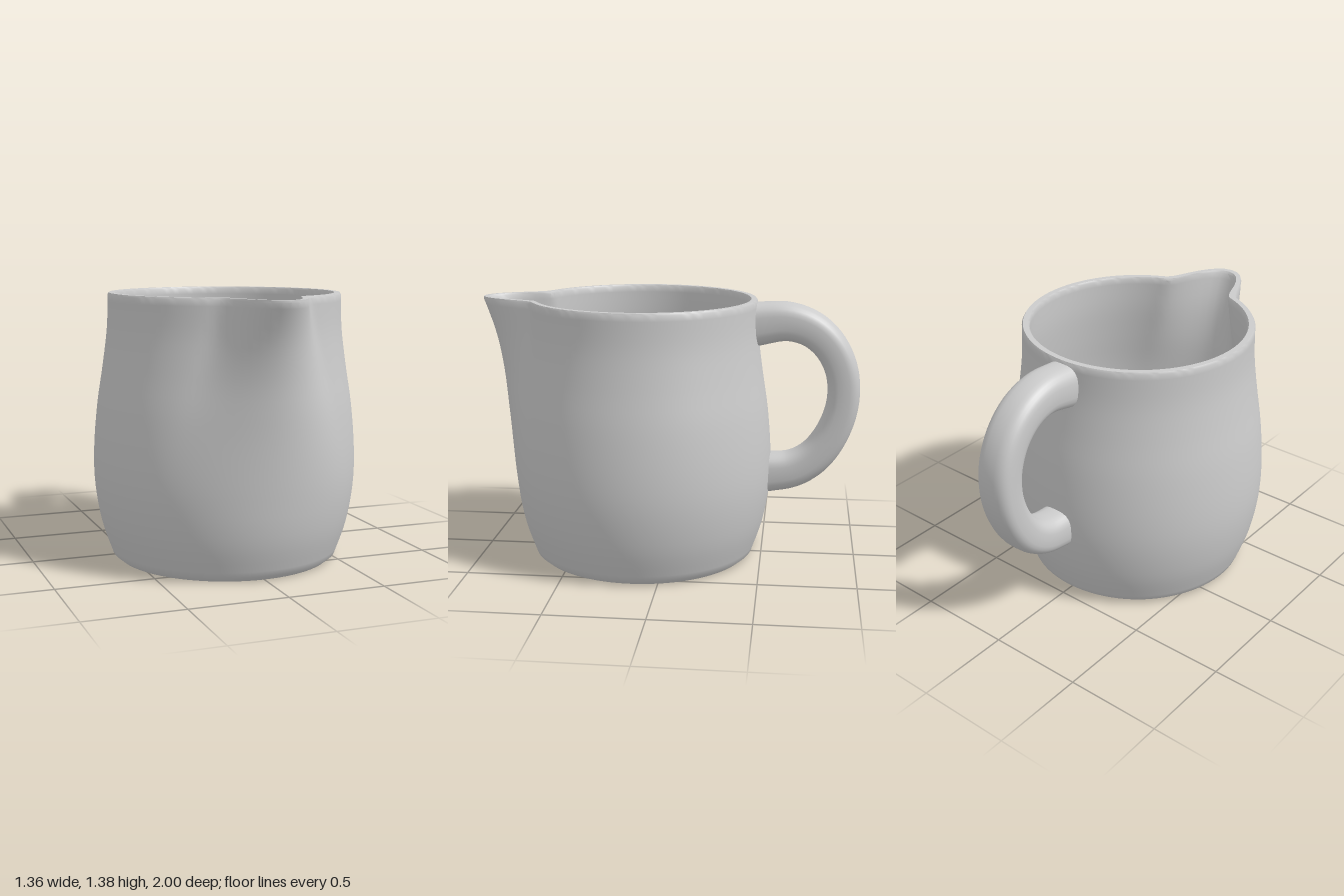
import * as THREE from 'three';
import { mergeVertices, toCreasedNormals } from 'three/addons/utils/BufferGeometryUtils.js';

const HEIGHT = 1.38;
const BODY_Z = 0.14;
const WALL = 0.04;
const v2 = (x, y) => new THREE.Vector2(x, y);

// Pull the front of the wall outwards into a lip that is strong and narrow at the rim
function spoutOffset(angle, y, inner) {
  const t = THREE.MathUtils.clamp((y - 0.35) / (HEIGHT - 0.35), 0, 1);
  const width = THREE.MathUtils.degToRad(24 + (HEIGHT - y) * 25 - (inner ? 2 : 0));
  const a = Math.min(Math.abs(angle) / width, 1);
  return 0.26 * Math.pow(t, 1.7) * 0.5 * (1 + Math.cos(Math.PI * a));
}

// Hollow body: outer wall, rounded rim, inner wall and floor in one profile
function bodyGeometry() {
  const wall = new THREE.SplineCurve([
    v2(0.59, 0.025), v2(0.645, 0.19), v2(0.677, 0.38), v2(0.681, 0.57),
    v2(0.662, 0.8), v2(0.63, 1.01), v2(0.606, 1.2), v2(0.6, 1.37),
  ]).getPoints(28);
  const inside = wall.filter((p) => p.y > 0.1).reverse().map((p) => v2(p.x - WALL, p.y));
  const profile = [
    v2(0, 0), v2(0.56, 0), ...wall,
    v2(0.594, HEIGHT), v2(0.566, HEIGHT), ...inside,
    v2(0.55, 0.06), v2(0.52, 0.045), v2(0, 0.045),
  ];
  const firstInner = 2 + wall.length + 1;
  const lathe = new THREE.LatheGeometry(profile, 128, Math.PI);
  const pos = lathe.attributes.position;
  for (let i = 0; i < pos.count; i++) {
    const x = pos.getX(i), y = pos.getY(i), z = pos.getZ(i);
    const r = Math.hypot(x, z);
    if (r < 0.01) continue;
    const angle = Math.atan2(x, z);
    const k = 1 + spoutOffset(angle, y, i % profile.length >= firstInner) / r;
    pos.setXYZ(i, x * k, y, z * k);
  }
  lathe.deleteAttribute('uv');
  lathe.deleteAttribute('normal');
  return toCreasedNormals(mergeVertices(lathe, 1e-4), 0.6);
}

// Handle: rounded-rectangle section swept along a loop, thicker at both ends
function handleGeometry() {
  const path = new THREE.CatmullRomCurve3([
    [1.25, -0.44], [1.267, -0.62], [1.225, -0.75], [1.13, -0.85], [0.99, -0.909],
    [0.83, -0.912], [0.67, -0.86], [0.545, -0.77], [0.478, -0.66], [0.455, -0.52],
  ].map(([y, z]) => new THREE.Vector3(0, y, z)));
  const rings = 48, sides = 28, halfWidth = 0.1;
  const xAxis = new THREE.Vector3(1, 0, 0);
  const soften = (c) => Math.sign(c) * Math.pow(Math.abs(c), 0.7);
  const positions = [], index = [];
  for (let i = 0; i <= rings; i++) {
    const u = i / rings;
    const centre = path.getPointAt(u);
    const normal = path.getTangentAt(u).cross(xAxis).normalize();
    const half = 0.081 + 0.034 * Math.pow(1 - u, 4) + 0.024 * Math.pow(u, 4);
    for (let j = 0; j < sides; j++) {
      const a = (j / sides) * Math.PI * 2;
      const p = centre.clone()
        .addScaledVector(xAxis, halfWidth * soften(Math.cos(a)))
        .addScaledVector(normal, half * soften(Math.sin(a)));
      positions.push(p.x, p.y, p.z);
      if (i < rings) {
        const j2 = (j + 1) % sides;
        const p0 = i * sides + j, p1 = i * sides + j2;
        index.push(p0, p1, p0 + sides, p1, p1 + sides, p0 + sides);
      }
    }
  }
  const geometry = new THREE.BufferGeometry();
  geometry.setAttribute('position', new THREE.Float32BufferAttribute(positions, 3));
  geometry.setIndex(index);
  geometry.computeVertexNormals();
  return geometry;
}

export function createModel() {
  const group = new THREE.Group();
  group.name = 'milkJug';
  const material = new THREE.MeshStandardMaterial({ color: 0xcccccc });

  const body = new THREE.Mesh(bodyGeometry(), material);
  body.name = 'body';
  body.position.z = BODY_Z;

  const handle = new THREE.Mesh(handleGeometry(), material);
  handle.name = 'handle';

  group.add(body, handle);
  return group;
}
